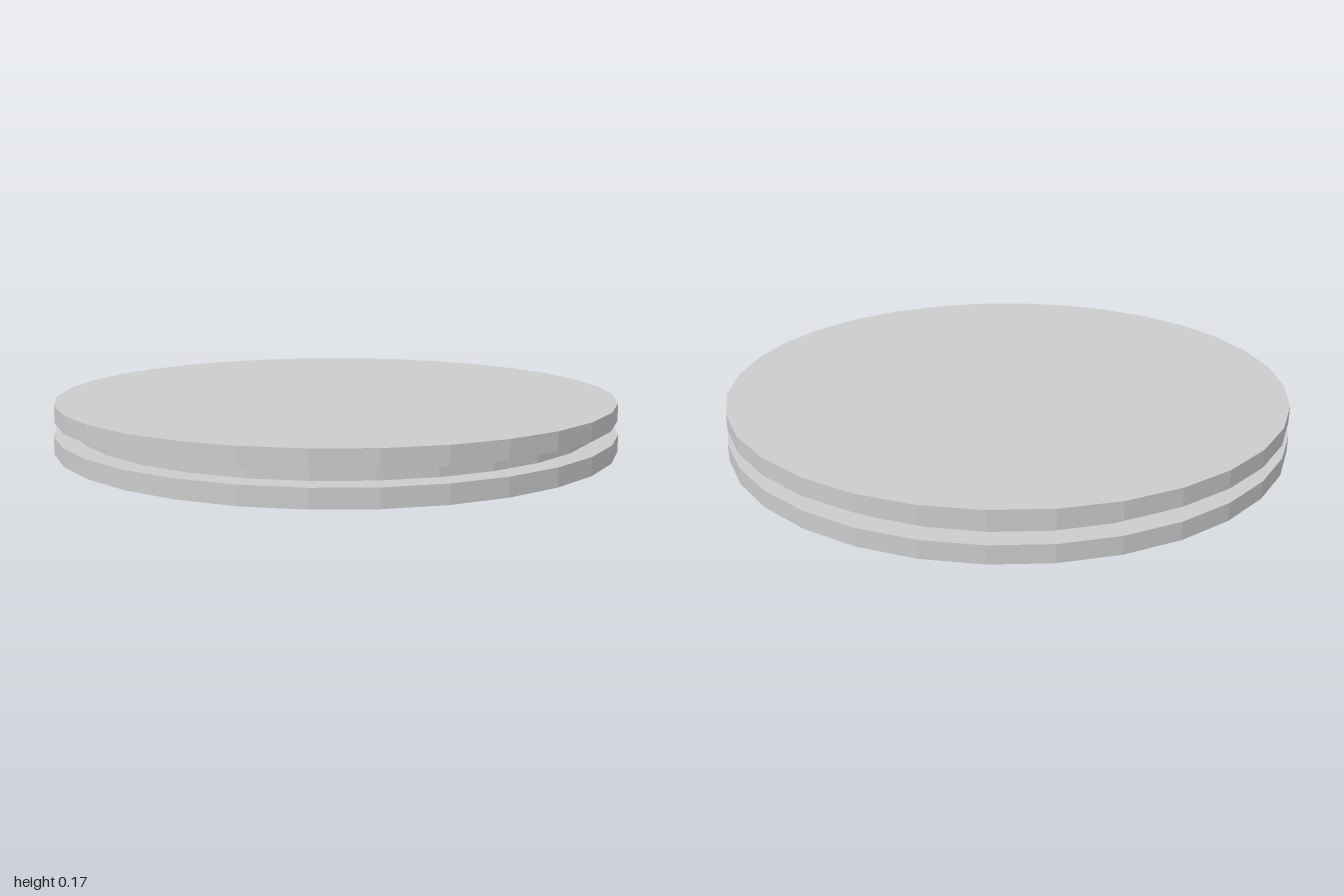
import * as THREE from 'three';

const SIDES = 32;

export function createModel() {
  const group = new THREE.Group();
  const material = new THREE.MeshStandardMaterial({ color: 0xcccccc, flatShading: true });

  // Faceted disc spanning two heights
  function addDisc(name, radius, bottom, top) {
    const disc = new THREE.Mesh(
      new THREE.CylinderGeometry(radius, radius, top - bottom, SIDES),
      material
    );
    disc.name = name;
    disc.position.y = (bottom + top) / 2;
    group.add(disc);
  }

  // Two wide plates with a narrower core forming the groove
  addDisc('bottomPlate', 1, 0, 0.061);
  addDisc('core', 0.925, 0.061, 0.107);
  addDisc('topPlate', 0.995, 0.107, 0.168);

  return group;
}
